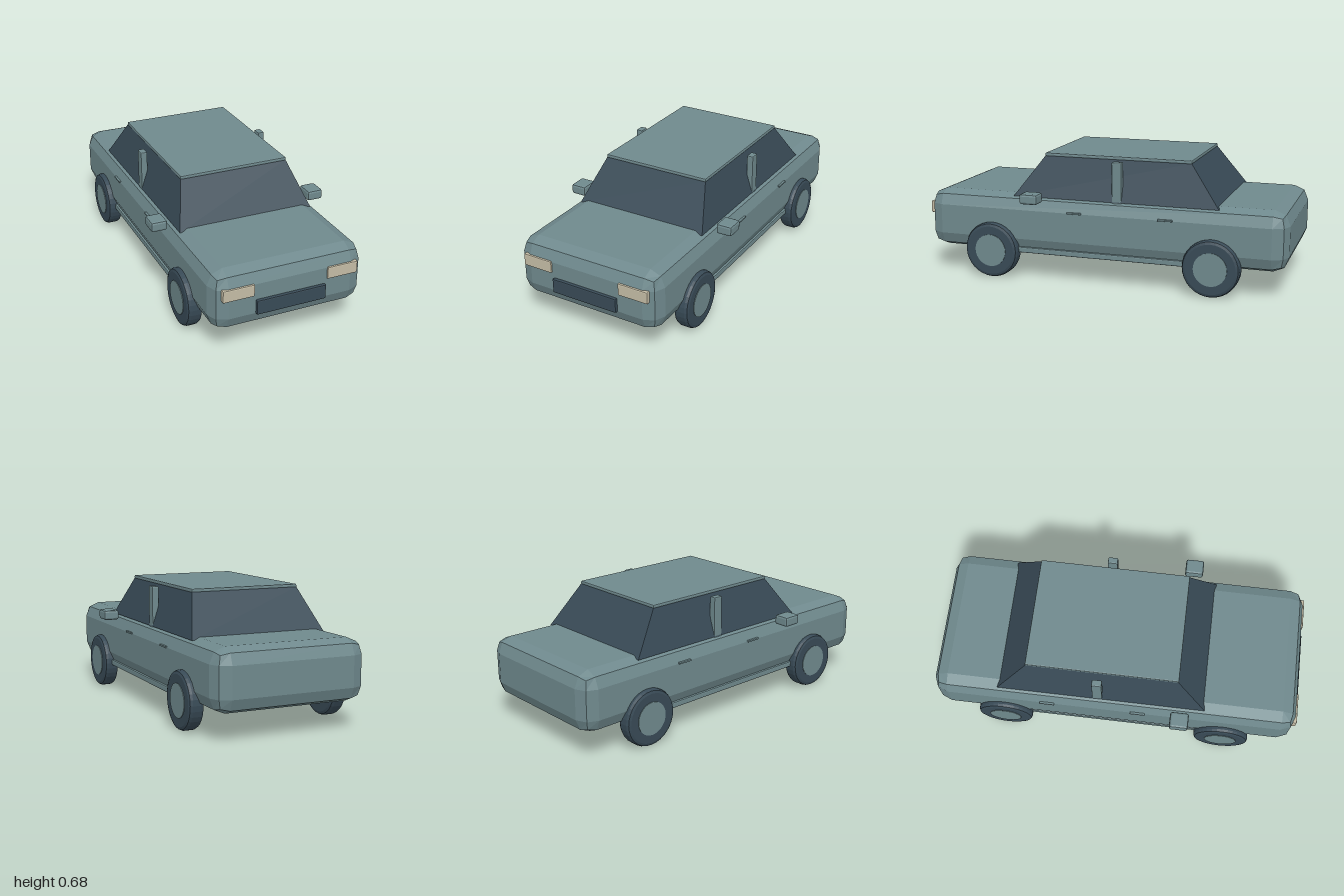
import * as THREE from 'three';
import { RoundedBoxGeometry } from 'three/addons/geometries/RoundedBoxGeometry.js';

const paint = new THREE.MeshStandardMaterial({ color: 0x6f898d });
paint.name = 'paint';
const dark = new THREE.MeshStandardMaterial({ color: 0x384a56 });
dark.name = 'dark glass and rubber';
const lamp = new THREE.MeshStandardMaterial({ color: 0xc4bca5 });
lamp.name = 'lamp cream';

// Faceted normals for a low-poly look
function faceted(geometry) {
  const g = geometry.index ? geometry.toNonIndexed() : geometry;
  g.computeVertexNormals();
  return g;
}

// Bevelled box given by its extents on each axis
function block(name, [x0, x1], [y0, y1], [z0, z1], radius, material) {
  const g = new RoundedBoxGeometry(x1 - x0, y1 - y0, z1 - z0, 1, radius);
  const mesh = new THREE.Mesh(faceted(g), material);
  mesh.position.set((x0 + x1) / 2, (y0 + y1) / 2, (z0 + z1) / 2);
  mesh.name = name;
  return mesh;
}

// Tapered cabin: move the top corners of a box inwards
function cabin() {
  const g = new THREE.BoxGeometry(2, 2, 2);
  const p = g.attributes.position;
  for (let i = 0; i < p.count; i++) {
    const top = p.getY(i) > 0;
    const front = p.getZ(i) > 0;
    const z = front ? (top ? 0.325 : 0.485) : (top ? -0.48 : -0.643);
    p.setXYZ(i, p.getX(i) * (top ? 0.3 : 0.372), top ? 0.668 : 0.45, z);
  }
  const mesh = new THREE.Mesh(faceted(g), dark);
  mesh.name = 'cabinGlass';
  return mesh;
}

// Tyre with chamfered shoulders and a hub running through it
function wheel(name, x, z) {
  const group = new THREE.Group();
  group.name = name;
  const profile = [[0, -0.04], [0.132, -0.04], [0.145, -0.035], [0.151, -0.022],
    [0.151, 0.022], [0.145, 0.035], [0.132, 0.04], [0, 0.04]]
    .map(([r, y]) => new THREE.Vector2(r, y));
  const tyre = new THREE.Mesh(faceted(new THREE.LatheGeometry(profile, 32)), dark);
  tyre.name = 'tyre';
  const hub = new THREE.Mesh(faceted(new THREE.CylinderGeometry(0.088, 0.088, 0.086, 32)), paint);
  hub.name = 'hub';
  group.add(tyre, hub);
  group.rotation.z = Math.PI / 2;
  group.position.set(x, 0.154, z);
  return group;
}

export function createModel() {
  const car = new THREE.Group();
  car.name = 'car';

  // Main shell, cabin and front panel
  car.add(
    block('body', [-0.409, 0.409], [0.143, 0.463], [-1, 0.983], 0.08, paint),
    cabin(),
    block('roof', [-0.302, 0.302], [0.664, 0.683], [-0.482, 0.328], 0.006, paint),
    block('grille', [-0.187, 0.187], [0.22, 0.298], [0.96, 1], 0.006, dark),
  );

  // Parts mirrored on both sides
  for (const s of [1, -1]) {
    const side = s > 0 ? 'left' : 'right';
    const span = (a, b) => (s > 0 ? [a, b] : [-b, -a]);
    car.add(
      block(side + 'Headlight', span(0.196, 0.363), [0.322, 0.387], [0.95, 0.991], 0.006, lamp),
      block(side + 'Pillar', span(0.334, 0.371), [0.44, 0.664], [-0.124, -0.07], 0.006, paint),
      block(side + 'Mirror', span(0.406, 0.493), [0.434, 0.489], [0.303, 0.403], 0.012, paint),
      block(side + 'Sill', span(0.345, 0.402), [0.145, 0.176], [-0.48, 0.46], 0.006, paint),
    );
    for (const z of [0.126, -0.37]) {
      car.add(block(side + 'DoorHandle', span(0.4, 0.418), [0.381, 0.39], [z - 0.04, z + 0.04], 0.002, paint));
    }
    car.add(wheel(side + 'FrontWheel', s * 0.4, 0.6), wheel(side + 'RearWheel', s * 0.4, -0.617));
  }
  return car;
}
